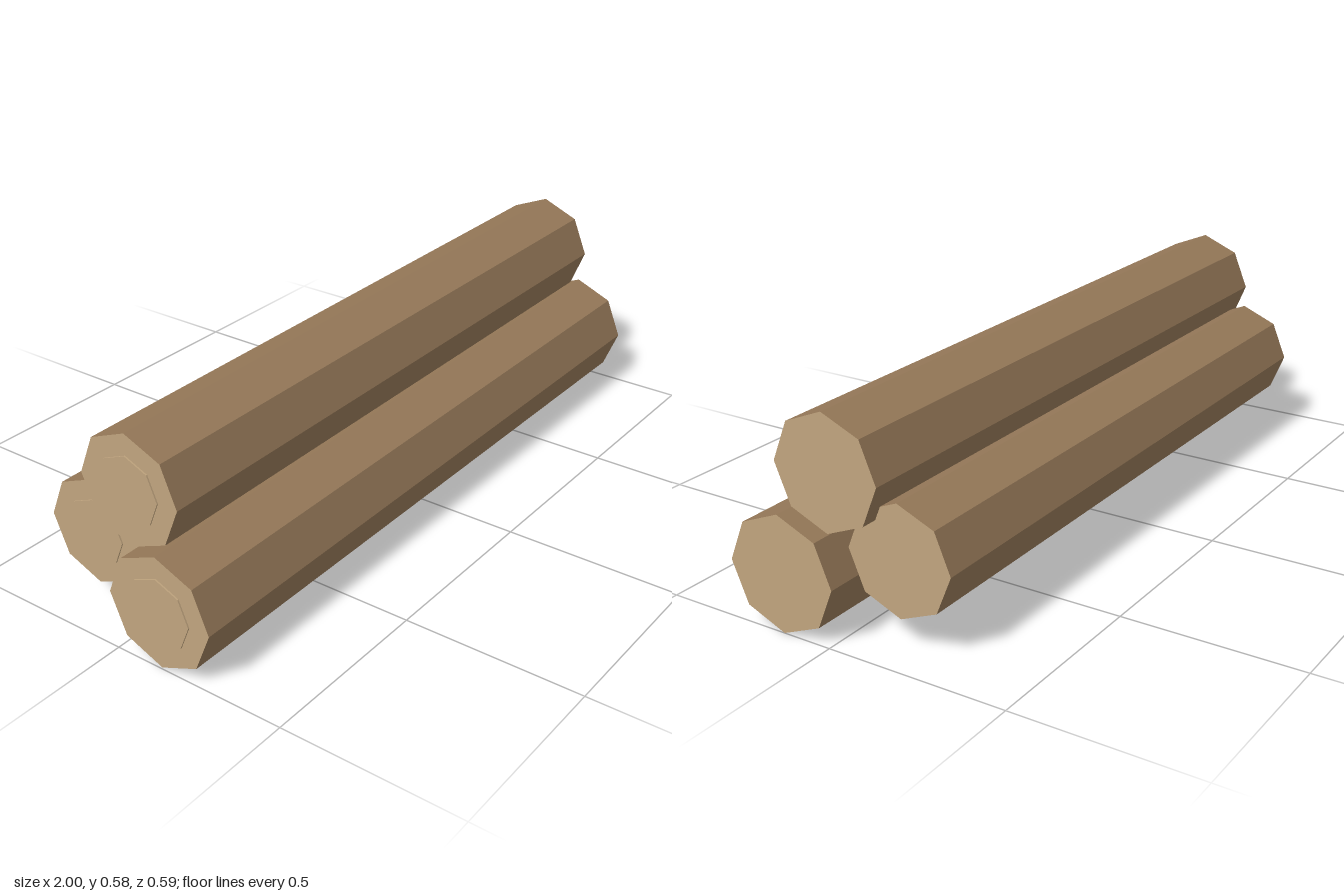
import * as THREE from 'three';

export function createModel() {
  const bark = new THREE.MeshStandardMaterial({ color: 0x957858, flatShading: true });
  bark.name = 'bark';
  const cutWood = new THREE.MeshStandardMaterial({ color: 0xc0a47e, flatShading: true });
  cutWood.name = 'cut wood';

  const model = new THREE.Group();
  model.name = 'logPile';

  // Eight-sided bar lying along x, with a corner pointing up
  const bar = (radius, length) =>
    new THREE.CylinderGeometry(radius, radius, length, 8).rotateZ(Math.PI / 2);

  const ringDepth = 0.004;

  function addLog(name, radius, halfLength, y, z) {
    const log = new THREE.Group();
    log.name = name;
    log.position.set(0, y, z);

    // Bark sides with pale sawn ends
    const trunk = new THREE.Mesh(bar(radius, halfLength * 2 - ringDepth), [bark, cutWood, cutWood]);
    trunk.name = 'trunk';
    trunk.position.x = ringDepth / 2;

    // Thin raised heartwood disc on one end
    const heart = new THREE.Mesh(bar(radius * 0.62, ringDepth * 2), cutWood);
    heart.name = 'heartwood';
    heart.position.x = -halfLength + ringDepth;

    log.add(trunk, heart);
    model.add(log);
  }

  addLog('frontLog', 0.156, 1.0, 0.157, 0.139);
  addLog('backLog', 0.148, 0.91, 0.228, -0.146);
  addLog('topLog', 0.152, 0.955, 0.426, 0.025);

  return model;
}
